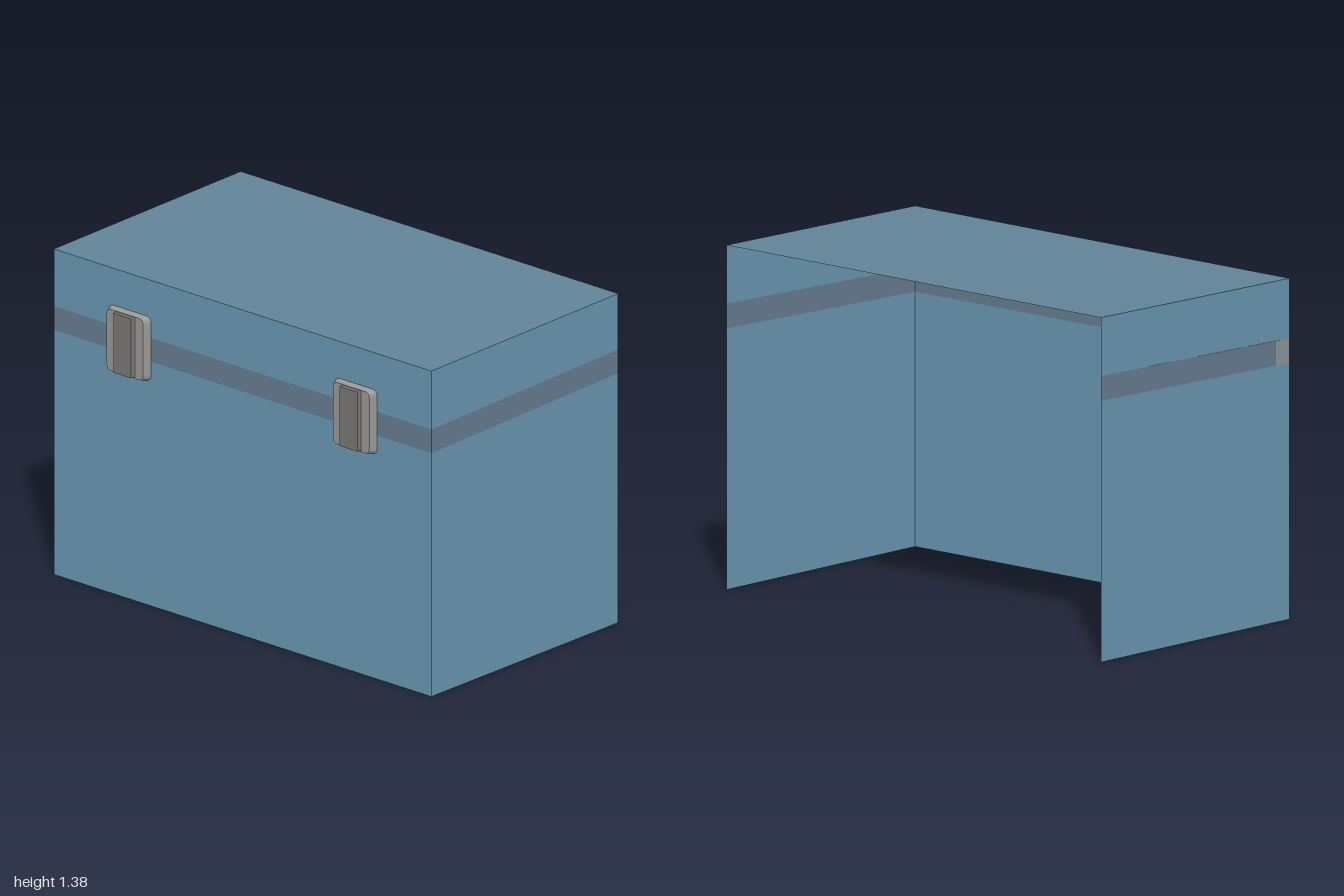
import * as THREE from 'three';

const paint = (color) => new THREE.MeshStandardMaterial({ color, side: THREE.DoubleSide });

// Thin four-cornered panel; corners run anticlockwise seen from outside
function panel(name, corners, material) {
  const [a, b, c, d] = corners;
  const geometry = new THREE.BufferGeometry();
  geometry.setAttribute('position', new THREE.Float32BufferAttribute([a, b, c, d].flat(), 3));
  geometry.setIndex([0, 1, 2, 0, 2, 3]);
  geometry.computeVertexNormals();
  const mesh = new THREE.Mesh(geometry, material);
  mesh.name = name;
  return mesh;
}

// Rounded plate standing on z = 0 whose front face is narrowed
function taperedPlate(name, w, h, depth, r, scaleX, scaleY, material) {
  const x = w / 2, y = h / 2;
  const s = new THREE.Shape();
  s.moveTo(-x + r, -y);
  s.lineTo(x - r, -y).quadraticCurveTo(x, -y, x, -y + r);
  s.lineTo(x, y - r).quadraticCurveTo(x, y, x - r, y);
  s.lineTo(-x + r, y).quadraticCurveTo(-x, y, -x, y - r);
  s.lineTo(-x, -y + r).quadraticCurveTo(-x, -y, -x + r, -y);
  const geometry = new THREE.ExtrudeGeometry(s, { depth, bevelEnabled: false, curveSegments: 4 });
  const p = geometry.attributes.position;
  for (let i = 0; i < p.count; i++) {
    if (p.getZ(i) > depth / 2) p.setXY(i, p.getX(i) * scaleX, p.getY(i) * scaleY);
  }
  geometry.computeVertexNormals();
  const mesh = new THREE.Mesh(geometry, material);
  mesh.name = name;
  return mesh;
}

export function createModel() {
  const model = new THREE.Group();
  const blue = paint(0x6b99b5), lidBlue = paint(0x628499), bandGrey = paint(0x687f92);
  const paleGrey = paint(0x8b9a9a), latchGrey = paint(0x9a9a98), claspGrey = paint(0x7b7a78);

  // Upright corner lines of the shell; band is the foot of the 0.1 high seam band
  const back = -0.57, front = 0.525;
  const leftBack = { x: 1, z: back, top: 1.385, band: 1.05 };
  const leftFront = { x: 1, z: front, top: 1.37, band: 1.024 };
  const rightFront = { x: -1, z: front, top: 1.37, band: 1.03 };
  const rightBack = { x: -1, z: back, top: 1.385, band: 1.05 };
  const at = (c, y) => [c.x, y, c.z];
  const strip = (name, a, b, low, high, material) =>
    panel(name, [at(a, low(a)), at(b, low(b)), at(b, high(b)), at(a, high(a))], material);
  const floor = () => 0, bandLow = (c) => c.band, bandHigh = (c) => c.band + 0.1, top = (c) => c.top;

  // Three walls, open at the back and underneath
  const walls = [['front', rightFront, leftFront], ['left', leftFront, leftBack], ['right', rightBack, rightFront]];
  for (const [side, a, b] of walls) {
    const wall = new THREE.Group();
    wall.name = side + 'Wall';
    wall.add(strip('lowerPanel', a, b, floor, bandLow, blue));
    wall.add(strip('upperPanel', a, b, bandHigh, top, blue));
    if (side === 'right') {
      // The band ends in a short pale piece beside the front corner
      const joint = { x: -1, z: 0.445, band: 1.031 };
      wall.add(strip('seamBand', a, joint, bandLow, bandHigh, bandGrey));
      wall.add(strip('bandEnd', joint, b, bandLow, bandHigh, paleGrey));
    } else {
      wall.add(strip('seamBand', a, b, bandLow, bandHigh, bandGrey));
    }
    model.add(wall);
  }

  // Lid, rising slightly to the back
  model.add(panel('lid', [rightFront, leftFront, leftBack, rightBack].map((c) => at(c, c.top)), lidBlue));

  // Two latches across the band
  for (const [name, x] of [['rightLatch', -0.595], ['leftLatch', 0.603]]) {
    const latch = new THREE.Group();
    latch.name = name;
    latch.add(taperedPlate('latchPlate', 0.222, 0.27, 0.03, 0.025, 0.87, 0.96, latchGrey));
    const clasp = taperedPlate('latchClasp', 0.105, 0.253, 0.016, 0.004, 0.9, 0.99, claspGrey);
    clasp.position.z = 0.03;
    latch.add(clasp);
    latch.position.set(x, 1.08, front + 0.001);
    model.add(latch);
  }
  return model;
}
